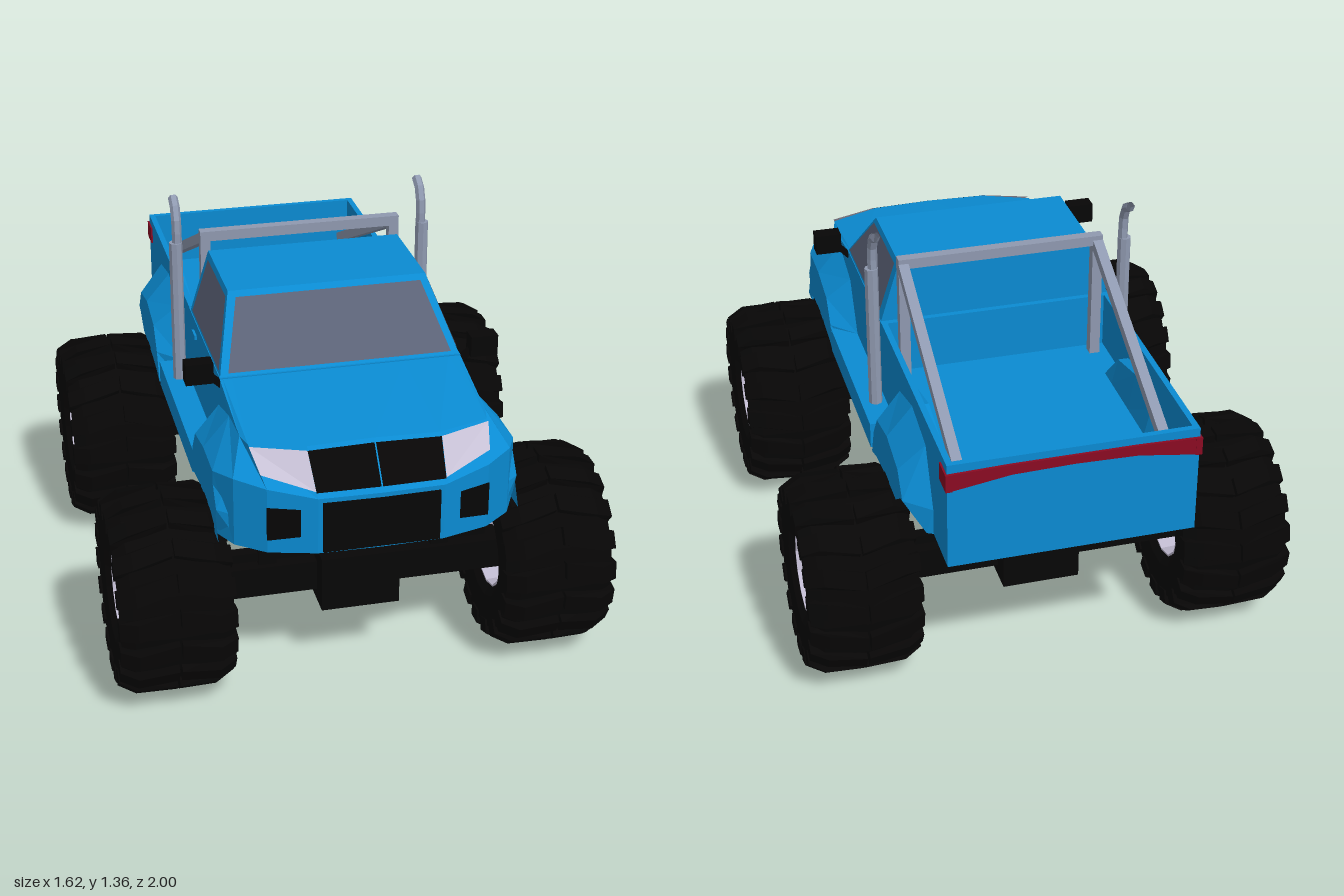
import * as THREE from 'three';
import { mergeGeometries } from 'three/addons/utils/BufferGeometryUtils.js';

const paint = (color) => new THREE.MeshStandardMaterial({ color, flatShading: true, side: THREE.DoubleSide });
const BLUE = paint(0x0a8bd2), BLACK = paint(0x070606), GLASS = paint(0x5b6277), CHROME = paint(0x8f99b0);
const RIM = paint(0xc0bad0), LAMP = paint(0xc6c0d4), RED = paint(0x8a0a22);

export function createModel() {
  const truck = new THREE.Group();
  truck.name = 'monsterTruck';

  const add = (name, geometry, material, parent = truck) => {
    const mesh = new THREE.Mesh(geometry, material);
    mesh.name = name;
    parent.add(mesh);
    return mesh;
  };
  // Box from its min and max along each axis
  const box = (name, m, [x0, x1], [y0, y1], [z0, z1]) => add(name,
    new THREE.BoxGeometry(x1 - x0, y1 - y0, z1 - z0).translate((x0 + x1) / 2, (y0 + y1) / 2, (z0 + z1) / 2), m);
  const boxPair = (name, m, [a, b], y, z) => {
    box(name + 'Left', m, [a, b], y, z);
    box(name + 'Right', m, [-b, -a], y, z);
  };
  // Sheet through rows of [x, y, z] points
  const sheet = (rows, side = 1) => {
    const n = rows[0].length, index = [];
    const pos = rows.flat().flatMap(([x, y, z]) => [x * side, y, z]);
    for (let r = 0; r < rows.length - 1; r++) for (let c = 0; c < n - 1; c++) {
      const a = r * n + c, b = a + 1, d = a + n, e = d + 1;
      index.push(...(side > 0 ? [a, b, e, a, e, d] : [a, e, b, a, d, e]));
    }
    const g = new THREE.BufferGeometry();
    g.setAttribute('position', new THREE.Float32BufferAttribute(pos, 3));
    g.setIndex(index);
    const flat = g.toNonIndexed();
    flat.computeVertexNormals();
    return flat;
  };
  const sheetPair = (name, m, rows) => {
    add(name + 'Left', sheet(rows), m);
    add(name + 'Right', sheet(rows, -1), m);
  };
  // Straight bar between two points
  const bar = (name, m, a, b, r, sides = 4) => {
    const A = new THREE.Vector3(...a), B = new THREE.Vector3(...b), d = B.clone().sub(A);
    const g = new THREE.CylinderGeometry(r, r, d.length(), sides);
    if (sides === 4) g.rotateY(Math.PI / 4);
    const mesh = add(name, g, m);
    mesh.position.copy(A).add(B).multiplyScalar(0.5);
    mesh.quaternion.setFromUnitVectors(new THREE.Vector3(0, 1, 0), d.normalize());
  };
  const mix = (a, b, t, o = 0) => a.map((v, i) => v + (b[i] - v) * t + (i ? o : o / 2));

  // Lower body, sills and load bed
  const FLOOR = 0.79;
  box('cabBase', BLUE, [-0.4, 0.4], [0.61, 0.978], [-0.1, 0.47]);
  box('engineBay', BLUE, [-0.4, 0.4], [0.61, 0.92], [0.47, 0.64]);
  box('bedBase', BLUE, [-0.4, 0.4], [0.61, FLOOR], [-0.99, -0.1]);
  boxPair('bedWall', BLUE, [0.38, 0.4], [FLOOR, 0.98], [-0.99, -0.1]);
  box('tailgate', BLUE, [-0.4, 0.4], [FLOOR, 0.98], [-0.99, -0.97]);
  boxPair('sill', BLUE, [0.39, 0.485], [0.61, 0.7], [-0.27, 0.4]);
  boxPair('doorHandle', BLUE, [0.4, 0.408], [0.92, 0.935], [-0.01, 0.045]);
  box('underbody', BLACK, [-0.4, 0.4], [0.605, 0.609], [-0.98, 0.64]);

  // Cab with tapered sides and raked windscreen
  const cab = new THREE.BoxGeometry(0.8, 0.22, 0.55).translate(0, 1.08, 0.195);
  const p = cab.attributes.position;
  for (let i = 0; i < p.count; i++) if (p.getY(i) > 1.1) {
    p.setX(i, p.getX(i) * 0.83);
    if (p.getZ(i) > 0) p.setZ(i, 0.27);
  }
  cab.computeVertexNormals();
  add('cab', cab, BLUE);
  const onSide = (z, y) => [0.404 - (y - 0.97) * 0.318, y, z];
  const onScreen = (x, y) => [x, y + 0.003, 0.474 - (y - 0.97) * 0.909];
  sheetPair('sideWindow', GLASS, [[onSide(0.44, 0.99), onSide(-0.045, 0.99)], [onSide(0.27, 1.172), onSide(-0.045, 1.172)]]);
  add('windscreen', sheet([[onScreen(-0.37, 0.985), onScreen(0.37, 0.985)], [onScreen(-0.31, 1.172), onScreen(0.31, 1.172)]]), GLASS);

  // Nose: bumper, grille slope and bonnet as rows from centre to fender
  const low = [[0, 0.61, 0.995], [0.2, 0.61, 0.99], [0.35, 0.61, 0.95], [0.44, 0.61, 0.88], [0.485, 0.61, 0.79]];
  const mid = [[0, 0.8, 0.995], [0.2, 0.8, 0.99], [0.35, 0.83, 0.95], [0.44, 0.84, 0.88], [0.485, 0.82, 0.78]];
  const top = [[0, 0.93, 0.88], [0.21, 0.925, 0.88], [0.38, 0.92, 0.82], [0.395, 0.92, 0.76], [0.4, 0.92, 0.62]];
  const cowl = [0, 0.21, 0.36, 0.39, 0.4].map((x) => [x, 0.975, 0.465]);
  sheetPair('nose', BLUE, [low, mid, top, cowl]);
  sheetPair('noseFloor', BLACK, [low.map(([x]) => [x, 0.61, 0.6]), low]);
  sheetPair('bonnetSide', BLUE, [[[0.4, 0.91, 0.62], [0.4, 0.91, 0.46]], [top[4], cowl[4]]]);
  sheetPair('fenderSlope', BLUE, [[[0.485, 0.82, 0.78], [0.485, 0.82, 0.62]], [[0.4, 0.92, 0.62], [0.4, 0.92, 0.62]]]);
  sheetPair('fenderSide', BLUE, [[[0.485, 0.61, 0.79], [0.485, 0.7, 0.785], [0.485, 0.82, 0.78]],
    [[0.485, 0.61, 0.86], [0.485, 0.75, 0.78], [0.485, 0.82, 0.62]]]);
  const slope = (t) => [mix(mid[1], top[1], t, 0.005), mix(mid[0], top[0], t, 0.005)];
  sheetPair('upperGrille', BLACK, [slope(0.1), slope(0.9)]);
  sheetPair('headlight', LAMP, [[mix(mid[1], top[1], 0.12, 0.006), mix(mid[2], top[2], 0.3, 0.006)],
    [mix(mid[1], top[1], 0.9, 0.006), mix(mid[2], top[2], 0.93, 0.006)]]);
  box('lowerGrille', BLACK, [-0.185, 0.185], [0.615, 0.785], [0.98, 0.998]);
  const fog = (u, y) => { const q = mix(low[1], low[2], u, 0.005); return [q[0], y, q[2]]; };
  sheetPair('fogLight', BLACK, [[fog(0.33, 0.67), fog(1, 0.655)], [fog(0.33, 0.765), fog(1, 0.77)]]);

  // Flared wheel arches: root on the body, lip, opening, dark well
  const root = [[0.28, 0.61], [0.28, 0.7], [0.18, 0.87], [0, 0.92], [-0.18, 0.885], [-0.27, 0.7], [-0.27, 0.61]];
  const lip = [[0.25, 0.61], [0.21, 0.71], [0.15, 0.79], [0, 0.82], [-0.15, 0.79], [-0.21, 0.71], [-0.26, 0.61]];
  for (const [name, c, dir, gapY] of [['front', 0.62, -1, 0.63], ['rear', -0.54, 1, 0.7]]) {
    const gap = [[0.24, 0.61], [0.18, 0.63], [0.11, 0.64], [0, 0.65], [-0.11, 0.65], [-0.18, gapY], [-0.255, 0.61]];
    // The trailing foot tucks back in against the body
    const row = (pts, x) => pts.map(([z, y], i) => [i === 6 ? Math.min(x, 0.42) : x, y, c + z * dir]);
    sheetPair(name + 'Flare', BLUE, [row(root, 0.4), row(lip, 0.485), row(gap, 0.485)]);
    sheetPair(name + 'WheelWell', BLACK, [row(gap, 0.484), row(gap, 0.403), row(gap.map(([z]) => [z, 0.61]), 0.403)]);
  }
  // Wheel housings inside the bed
  const hump = [[-0.3, FLOOR], [-0.37, 0.88], [-0.54, 0.92], [-0.7, 0.88], [-0.78, FLOOR]];
  sheetPair('bedWheelHousing', BLUE, [hump.map(([z]) => [0.325, FLOOR, z]),
    hump.map(([z, y]) => [0.345, y, z]), hump.map(([z, y]) => [0.385, y, z])]);

  // Tail lights joined by a narrowing band
  boxPair('tailLight', RED, [0.385, 0.406], [0.89, 0.95], [-1, -0.92]);
  sheetPair('tailBand', RED, [[[0, 0.925, -0.999], [0.2, 0.92, -0.999], [0.4, 0.89, -0.999]],
    [[0, 0.955, -0.999], [0.2, 0.955, -0.999], [0.4, 0.95, -0.999]],
    [[0, 0.955, -0.985], [0.2, 0.955, -0.985], [0.4, 0.95, -0.985]]]);

  // Roll bar, exhaust stacks and mirrors
  box('rollBarTop', CHROME, [-0.35, 0.35], [1.205, 1.24], [-0.16, -0.125]);
  boxPair('rollBarPost', CHROME, [0.315, 0.35], [FLOOR, 1.22], [-0.16, -0.125]);
  for (const s of [1, -1]) {
    const side = s > 0 ? 'Left' : 'Right';
    bar('rollBarBrace' + side, CHROME, [s * 0.333, 1.215, -0.14], [s * 0.333, 0.865, -0.88], 0.024);
    bar('exhaustStack' + side, CHROME, [s * 0.435, 0.7, -0.13], [s * 0.435, 1.21, -0.13], 0.023, 8);
    const bend = new THREE.CatmullRomCurve3([[1.2, -0.13], [1.28, -0.132], [1.325, -0.15], [1.35, -0.19]]
      .map(([y, z]) => new THREE.Vector3(s * 0.43, y, z)));
    add('exhaustTip' + side, new THREE.TubeGeometry(bend, 4, 0.017, 6), CHROME);
    bar('mirrorArm' + side, BLACK, [s * 0.395, 0.955, 0.465], [s * 0.44, 1.0, 0.475], 0.014);
  }
  boxPair('mirror', BLACK, [0.425, 0.515], [0.98, 1.05], [0.45, 0.505]);

  // Chassis and axles
  box('gearbox', BLACK, [-0.19, 0.19], [0.36, 0.61], [-0.12, 0.24]);
  box('rearMount', BLACK, [-0.19, 0.19], [0.42, 0.61], [-0.66, -0.42]);
  boxPair('frameRail', BLACK, [0.27, 0.3], [0.395, 0.425], [-0.54, 0.63]);
  for (const [name, z] of [['front', 0.63], ['rear', -0.54]]) {
    box(name + 'Axle', BLACK, [-0.5, 0.5], [0.28, 0.385], [z - 0.05, z + 0.05]);
    box(name + 'Differential', BLACK, [-0.13, 0.13], [0.24, 0.43], [z - 0.12, z + 0.12]);
    box(name + 'CrossBar', BLACK, [-0.45, 0.45], [0.395, 0.425], [z - 0.02, z + 0.02]);
    boxPair(name + 'Strut', BLACK, [0.26, 0.32], [0.38, 0.61], [z - 0.03, z + 0.03]);
  }
  bar('driveShaft', BLACK, [0, 0.38, 0.6], [0, 0.38, -0.5], 0.03, 8);

  // Wheels, built around the x axis: tyre, chevron lugs and dished rim
  const lathe = (pts, n) => new THREE.LatheGeometry(pts.map(([r, h]) => new THREE.Vector2(r, h)), n).rotateZ(-Math.PI / 2);
  const tyre = lathe([[0.135, -0.15], [0.17, -0.172], [0.275, -0.18], [0.302, -0.14], [0.312, 0],
    [0.302, 0.14], [0.275, 0.18], [0.17, 0.172], [0.135, 0.15]], 14);
  const rim = lathe([[0, -0.06], [0.128, -0.06], [0.132, -0.155], [0.138, -0.155], [0.138, 0.155],
    [0.132, 0.155], [0.128, 0.05], [0, 0.05]], 12);
  // One lug, skewed inboard and straight at the shoulder; its mirror image completes the chevron
  const outline = [[0.004, 0.29], [0.004, 0.333], [0.13, 0.328], [0.186, 0.295], [0.186, 0.245], [0.14, 0.27]];
  const makeLug = (s) => {
    const g = new THREE.ExtrudeGeometry(new THREE.Shape(outline.map(([x, y]) => new THREE.Vector2(x * s, y))),
      { depth: 0.058, bevelEnabled: false }).translate(0, 0, -0.045);
    const lp = g.attributes.position;
    for (let i = 0; i < lp.count; i++) lp.setZ(i, lp.getZ(i) + Math.min(Math.abs(lp.getX(i)), 0.13) * 0.25);
    g.computeVertexNormals();
    return g;
  };
  const lugs = [], COUNT = 18;
  for (let i = 0; i < COUNT; i++) for (const s of [1, -1]) lugs.push(makeLug(s).rotateX((i / COUNT) * Math.PI * 2));
  const tread = mergeGeometries(lugs);
  for (const [name, z] of [['front', 0.63], ['rear', -0.54]]) for (const s of [1, -1]) {
    const wheel = new THREE.Group();
    wheel.name = name + 'Wheel' + (s > 0 ? 'Left' : 'Right');
    wheel.position.set(s * 0.625, 0.333, z);
    add('tyre', tyre, BLACK, wheel);
    add('tread', tread, BLACK, wheel);
    add('rim', rim, RIM, wheel);
    truck.add(wheel);
  }
  return truck;
}
